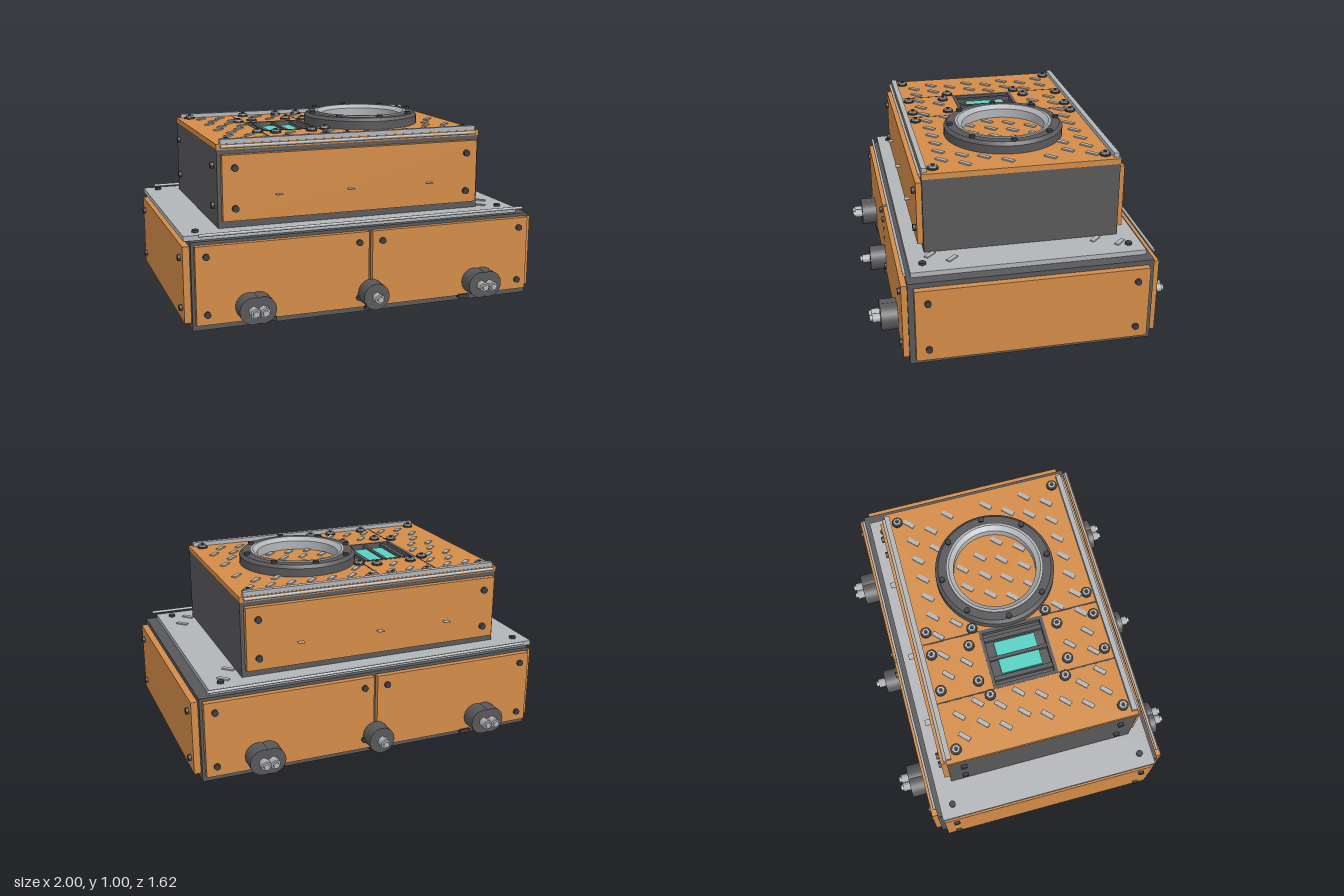
import * as THREE from 'three';

const mat = (name, color) => Object.assign(new THREE.MeshStandardMaterial({ color }), { name });

export function createModel() {
  const root = new THREE.Group();
  const orange = mat('orange paint', 0xd38c48);
  const dark = mat('dark casing', 0x58585a);
  const bolt = mat('bolt black', 0x3c3e42);
  const grey = mat('light steel', 0xb2b5b8);
  const teal = mat('teal glow', 0x55d0c2);

  function add(name, geo, m, x, y, z, parent = root) {
    const mesh = new THREE.Mesh(geo, m);
    mesh.name = name;
    mesh.position.set(x, y, z);
    parent.add(mesh);
    return mesh;
  }
  // box given by its minimum and maximum corners
  function box(name, m, x0, x1, y0, y1, z0, z1) {
    return add(name, new THREE.BoxGeometry(x1 - x0, y1 - y0, z1 - z0), m,
      (x0 + x1) / 2, (y0 + y1) / 2, (z0 + z1) / 2);
  }
  // cylinder centred on a point, along the given axis
  function rod(name, m, r, len, axis, x, y, z, sides = 16) {
    const g = new THREE.CylinderGeometry(r, r, len, sides);
    if (axis === 'x') g.rotateZ(Math.PI / 2);
    if (axis === 'z') g.rotateX(Math.PI / 2);
    return add(name, g, m, x, y, z);
  }
  // ring-shaped solid from a closed profile of [radius, height]
  function ring(name, m, profile, x, y, z) {
    const pts = [...profile, profile[0]].map(p => new THREE.Vector2(...p));
    const solid = new THREE.Group();
    solid.name = name;
    solid.position.set(x, y, z);
    for (let i = 0; i < pts.length - 1; i++) // separate bands keep the edges crisp
      add(name + 'Band', new THREE.LatheGeometry([pts[i], pts[i + 1]], 56), m, 0, 0, 0, solid);
    root.add(solid);
  }

  // Lower casing and deck
  box('baseCasing', dark, -0.95, 0.95, 0, 0.462, -0.635, 0.635);
  box('deckPlate', grey, -0.98, 0.89, 0.464, 0.49, -0.61, 0.61);
  for (const s of [-1, 1]) {
    box('baseEndPanel', orange, s * 0.967 - 0.018, s * 0.967 + 0.018, 0.035, 0.435, -0.605, 0.605);
    for (const y of [0.1, 0.365]) for (const z of [-0.54, 0.54])
      rod('endPanelBolt', bolt, 0.017, 0.02, 'x', s * 0.99, y, z);
    for (const x of [-0.905, 0.81]) rod('deckBolt', bolt, 0.018, 0.015, 'y', x, 0.495, s * 0.54);
  }

  // Front and back faces, mirrored in z
  for (const s of [-1, 1]) {
    for (const t of [-1, 1]) {
      box('basePanel', orange, t * 0.4725 - 0.4625, t * 0.4725 + 0.4625, 0.035, 0.445,
        s * 0.65 - 0.015, s * 0.65 + 0.015);
      for (const x of [0.065, 0.88]) for (const y of [0.09, 0.39])
        rod('basePanelBolt', bolt, 0.017, 0.02, 'z', t * x, y, s * 0.668);
    }
    rod('deckRod', grey, 0.008, 1.82, 'x', 0, 0.495, s * 0.642, 10);

    // Connectors: the outer ones are twinned
    for (const x of [-0.665, -0.615, 0, 0.61, 0.66]) {
      rod('connectorSocket', dark, 0.071, 0.09, 'z', x, 0.113, s * 0.71, 28);
      rod('connectorNut', grey, 0.027, 0.045, 'z', x, 0.113, s * 0.776, 6);
      rod('connectorTip', grey, 0.016, 0.02, 'z', x, 0.113, s * 0.802, 12);
    }
    for (const x of [-0.55, 0, 0.55])
      box('drainTab', bolt, x - 0.03, x + 0.03, 0.02, 0.042, s * 0.66 - 0.015, s * 0.66 + 0.015);

    // Upper housing panel
    box('upperPanel', orange, -0.76, 0.67, 0.53, 0.872, s * 0.53 - 0.015, s * 0.53 + 0.015);
    for (const x of [-0.695, 0.605]) for (const y of [0.595, 0.805])
      rod('upperPanelBolt', bolt, 0.018, 0.02, 'z', x, y, s * 0.55);
    for (const x of [-0.465, -0.07, 0.38])
      box('panelClip', grey, x - 0.017, x + 0.017, 0.654, 0.657, s * 0.56 - 0.015, s * 0.56 + 0.015);
    for (const y of [0.595, 0.805]) rod('housingEndBolt', bolt, 0.017, 0.02, 'x', -0.787, y, s * 0.43);

    // Edge rails on the roof
    box('roofRail', grey, -0.76, 0.67, 0.925, 0.948, s * 0.5 - 0.014, s * 0.5 + 0.014);
    rod('roofRod', grey, 0.009, 1.43, 'x', -0.045, 0.912, s * 0.521, 10);
  }
  box('upperHousing', dark, -0.78, 0.69, 0.49, 0.896, -0.515, 0.515);

  // Roof plate with a rectangular opening for the lamp bay
  const rect = (P, x0, x1, z0, z1) => {
    const p = new P();
    p.moveTo(x0, z0); p.lineTo(x1, z0); p.lineTo(x1, z1); p.lineTo(x0, z1); p.closePath();
    return p;
  };
  const roof = rect(THREE.Shape, -0.782, 0.692, -0.517, 0.517);
  roof.holes.push(rect(THREE.Path, -0.455, -0.12, -0.175, 0.175));
  const roofGeo = new THREE.ExtrudeGeometry(roof, { depth: 0.03, bevelEnabled: false });
  roofGeo.rotateX(-Math.PI / 2);
  add('roofPlate', roofGeo, orange, 0, 0.895, 0);

  // Plate seams
  for (const x of [-0.455, -0.12]) for (const s of [-1, 1])
    box('roofSeam', bolt, x - 0.004, x + 0.004, 0.924, 0.926, s * 0.33 - 0.155, s * 0.33 + 0.155);

  // Lamp bay: frame bars, dividers and two glowing lamps
  for (const s of [-1, 1]) {
    box('bayEndBar', dark, -0.455, -0.12, 0.896, 0.927, s * 0.168 - 0.009, s * 0.168 + 0.009);
    box('baySideBar', dark, -0.2875 + s * 0.158 - 0.01, -0.2875 + s * 0.158 + 0.01, 0.896, 0.927, -0.165, 0.165);
    box('bayInnerBar', dark, -0.2875 + s * 0.112 - 0.012, -0.2875 + s * 0.112 + 0.012, 0.896, 0.92, -0.16, 0.16);
    box('lamp', teal, -0.2875 + s * 0.05 - 0.04, -0.2875 + s * 0.05 + 0.04, 0.896, 0.91, -0.113, 0.113);
  }
  box('bayDivider', dark, -0.297, -0.278, 0.896, 0.92, -0.16, 0.16);

  // Hatch ring with bolts
  ring('hatchRing', dark, [[0.25, 0], [0.325, 0], [0.325, 0.045], [0.308, 0.062], [0.25, 0.062]], 0.195, 0.925, 0);
  ring('hatchLip', grey, [[0.225, 0], [0.264, 0], [0.264, 0.07], [0.25, 0.07], [0.225, 0.05]], 0.195, 0.925, 0);
  for (let i = 0; i < 8; i++) {
    const a = i * Math.PI / 4;
    rod('hatchBolt', bolt, 0.016, 0.018, 'y', 0.195 + 0.294 * Math.cos(a), 0.991, 0.294 * Math.sin(a));
  }

  // Roof bolts on steel washers
  const spots = [[-0.715, 0.45], [-0.39, 0.45], [-0.185, 0.45], [-0.055, 0.45], [0.625, 0.45],
    [-0.39, 0.245], [-0.185, 0.245], [-0.48, 0.205], [-0.095, 0.205]];
  for (const [x, z] of spots) for (const s of [-1, 1]) {
    rod('roofWasher', bolt, 0.03, 0.008, 'y', x, 0.929, s * z);
    rod('roofNut', grey, 0.023, 0.012, 'y', x, 0.937, s * z, 6);
    rod('roofBoltTip', bolt, 0.01, 0.012, 'y', x, 0.943, s * z, 10);
  }

  // Tread bars in staggered rows, kept clear of other fittings
  const bar = new THREE.BoxGeometry(0.068, 0.008, 0.024);
  for (let row = 0; row < 8; row++) {
    const z = -0.39 + row * 0.1115;
    for (let k = 0; k < 12; k++) {
      const x = -0.66 + k * 0.1145 + (row % 2 ? 0.045 : 0);
      const r = Math.hypot(x - 0.195, z);
      if (x > 0.63 || (r > 0.215 && r < 0.34)) continue;
      if (x > -0.49 && x < -0.09 && Math.abs(z) < 0.21) continue;
      if (Math.abs(x + 0.455) < 0.03 || Math.abs(x + 0.12) < 0.03) continue;
      if (spots.some(([bx, bz]) => Math.hypot(x - bx, Math.abs(z) - bz) < 0.055)) continue;
      add('treadBar', bar, grey, x, 0.928, z).rotation.y = Math.PI / 4;
    }
  }
  for (const [x, z] of [[0.785, -0.5], [0.725, -0.385], [0.785, 0.385], [0.725, 0.49]])
    add('deckTreadBar', bar, grey, x, 0.493, z).rotation.y = -Math.PI / 4;

  return root;
}
